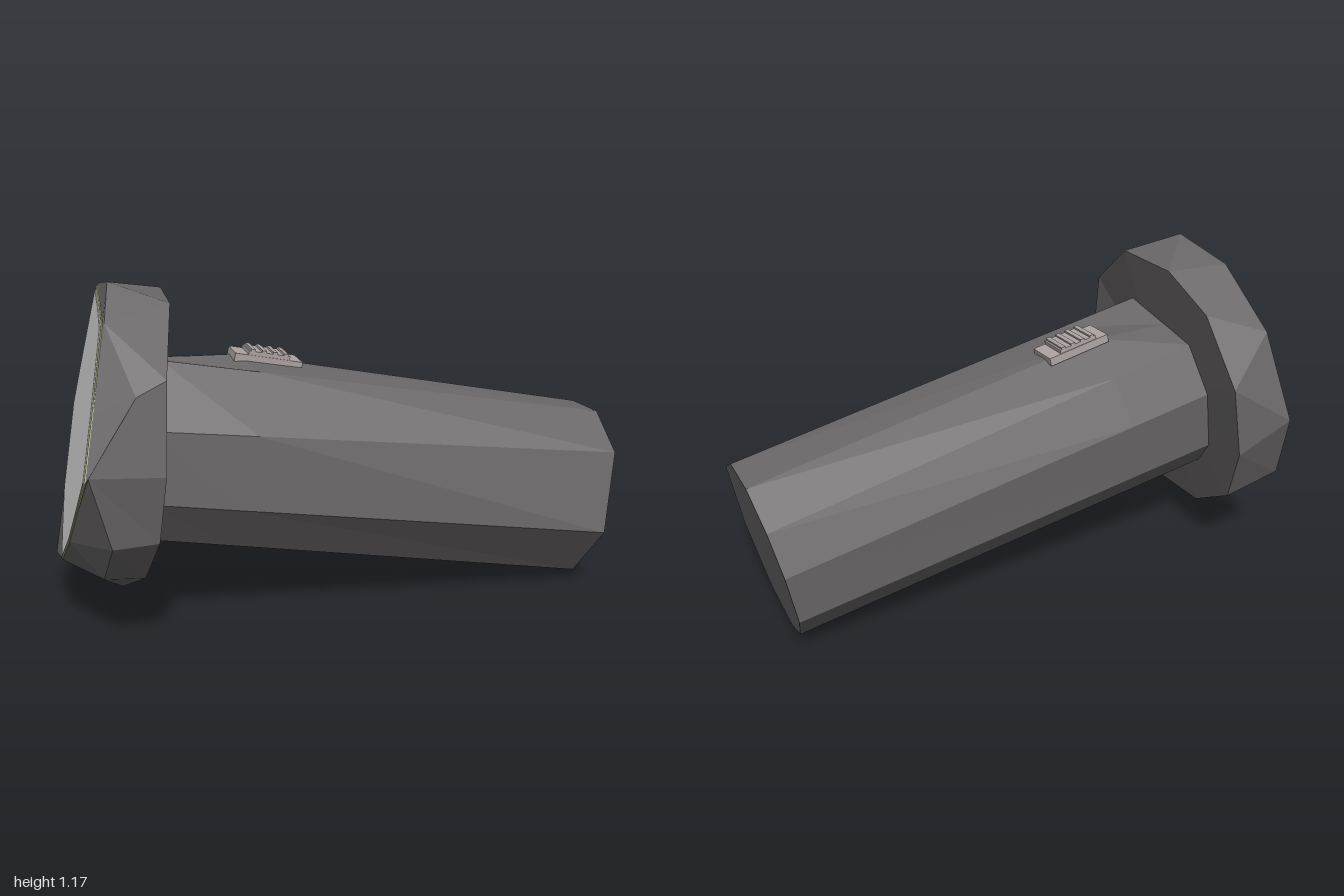
import * as THREE from 'three';

const material = (name, color) => {
  const m = new THREE.MeshStandardMaterial({ color });
  m.name = name;
  return m;
};

// Ring of [z, y] points on a tilted plane, counter-clockwise seen from +x;
// an optional third number places a point off the plane at its own x
const ring = (points, x0, slopeY, slopeZ) =>
  points.map(([z, y, x = x0 + slopeY * (y - 0.645) + slopeZ * z]) => [x, y, z]);

// Closed faceted solid through rings running from -x to +x
function loft(rings, flip = false) {
  const out = [], n = rings[0].length;
  const mid = (r) => [0, 1, 2].map((k) => r.reduce((s, v) => s + v[k], 0) / n);
  const first = rings[0], last = rings[rings.length - 1];
  const cp = mid(first), cq = mid(last);
  for (let i = 0; i < n; i++) {
    const j = (i + 1) % n;
    for (let k = 0; k < rings.length - 1; k++) {
      const p = rings[k], q = rings[k + 1];
      if (flip) out.push(p[i], p[j], q[j], p[i], q[j], q[i]);
      else out.push(p[i], p[j], q[i], p[j], q[j], q[i]);
    }
    out.push(cp, first[j], first[i], cq, last[i], last[j]);
  }
  const g = new THREE.BufferGeometry();
  g.setAttribute('position', new THREE.Float32BufferAttribute(out.flat(), 3));
  g.computeVertexNormals();
  return g;
}

export function createModel() {
  const model = new THREE.Group();
  const body = material('dark grey body', 0x6b6869);
  const glass = material('pale grey lens', 0xdcdddc);
  const rimMat = material('pale olive rim', 0xd8dc9c);
  const switchMat = material('warm grey switch', 0xaea5a3);
  const add = (name, geometry, mat, parent = model) => {
    const mesh = new THREE.Mesh(geometry, mat);
    mesh.name = name;
    parent.add(mesh);
    return mesh;
  };

  // Handle: uneven ten-sided tapering barrel, raised under the switch
  const start = ring([[0.175, 0.92], [0.335, 0.72], [0.33, 0.48], [0.22, 0.33], [0, 0.31],
    [-0.2, 0.36], [-0.285, 0.47], [-0.305, 0.7], [-0.21, 0.865], [-0.05, 0.89]], -0.69, 0.19, -0.05);
  const end = ring([[0.18, 0.63], [0.37, 0.52], [0.42, 0.235], [0.265, 0.04], [0.05, 0.002],
    [-0.1, 0.065], [-0.2, 0.19], [-0.215, 0.385], [-0.15, 0.53], [-0.01, 0.63]], 1.004, 0.19, -0.05);
  const middle = start.map((p, i) => p.map((v, k) => v + (end[i][k] - v) * 0.2));
  middle[9] = [-0.34, 0.888, -0.035];
  add('handle', loft([start, middle, end], true), body);

  // Head: irregular front face, widest ring and twisted back ring
  const facePoints = [[0.06, 1.105], [0.295, 1.065], [0.43, 0.82], [0.505, 0.62], [0.37, 0.485], [0.24, 0.35],
    [0.05, 0.225], [-0.14, 0.285], [-0.41, 0.4], [-0.5, 0.62], [-0.335, 0.88], [-0.175, 1.13]];
  const outerPoints = [[0.1, 1.175, -0.8], [0.3, 1.07], [0.49, 0.87, -0.78], [0.525, 0.64], [0.475, 0.39, -0.87],
    [0.3, 0.23, -0.88], [0.05, 0.22], [-0.2, 0.165, -0.99], [-0.425, 0.36], [-0.525, 0.635],
    [-0.435, 0.965, -0.79], [-0.18, 1.14]];
  const backPoints = [[0.2, 1.11], [0.46, 0.91, -0.68], [0.515, 0.62, -0.7], [0.46, 0.39, -0.72], [0.33, 0.23, -0.75],
    [0.1, 0.12], [-0.15, 0.14], [-0.38, 0.285], [-0.48, 0.52], [-0.48, 0.79], [-0.335, 1.03], [-0.11, 1.125]];
  const front = (points, x) => ring(points, x, 0.19, -0.07);
  add('head', loft([front(facePoints, -0.905), front(outerPoints, -0.9), ring(backPoints, -0.69, 0.19, -0.07)]), body);

  // Thin rim plate with the lens plate over it, leaving uneven slivers of rim
  const lensPoints = [[0.06, 1.09], [0.275, 1.05], [0.41, 0.81], [0.485, 0.62], [0.365, 0.49], [0.24, 0.36],
    [0.05, 0.235], [-0.13, 0.295], [-0.32, 0.375], [-0.455, 0.66], [-0.335, 0.87], [-0.17, 1.115]];
  add('lensRim', loft([front(facePoints, -0.908), front(facePoints, -0.904)]), rimMat);
  add('lens', loft([front(lensPoints, -0.911), front(lensPoints, -0.907)]), glass);

  // Sliding switch with cross ribs, following the slope of the barrel
  const slider = new THREE.Group();
  slider.name = 'switch';
  slider.position.set(-0.247, 0.872, -0.008);
  slider.rotation.set(0.05, -0.03, -0.19);
  model.add(slider);
  add('switchBase', new THREE.BoxGeometry(0.245, 0.03, 0.12), switchMat, slider);
  add('switchPad', new THREE.BoxGeometry(0.15, 0.016, 0.114), switchMat, slider).position.y = 0.021;
  for (let i = 0; i < 4; i++) {
    add('switchRib', new THREE.BoxGeometry(0.016, 0.01, 0.114), switchMat, slider)
      .position.set(-0.06 + i * 0.04, 0.031, 0);
  }
  return model;
}
